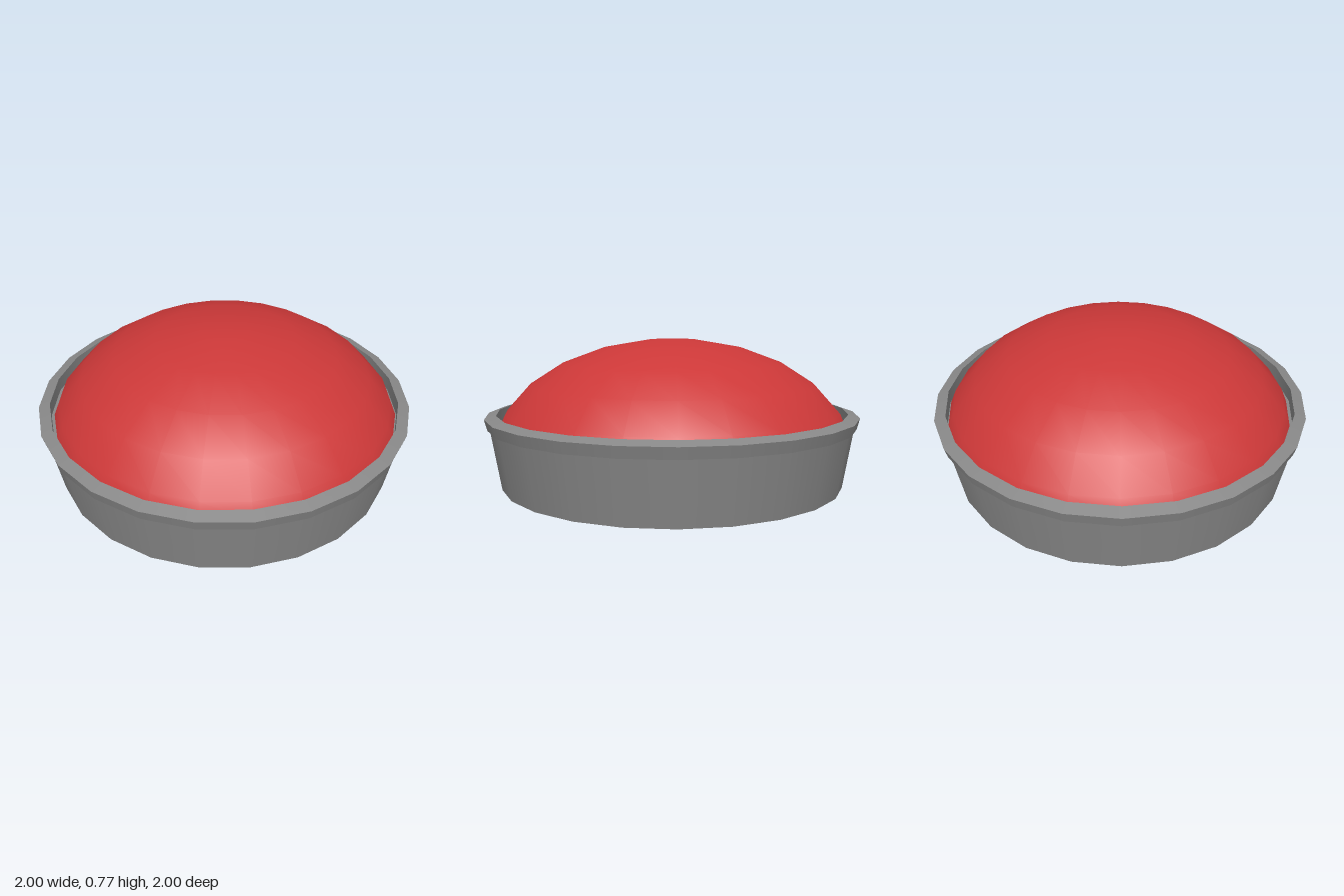
import * as THREE from 'three';

const SIDES = 24;

// Revolve a profile of [radius, height] points, ordered bottom to top on the outside
function revolve(name, points, material) {
  const profile = points.map(([r, y]) => new THREE.Vector2(r, y));
  const mesh = new THREE.Mesh(new THREE.LatheGeometry(profile, SIDES), material);
  mesh.name = name;
  return mesh;
}

export function createModel() {
  const model = new THREE.Group();
  model.name = 'domedButton';
  const grey = new THREE.MeshStandardMaterial({ color: 0x888888 });
  const red = new THREE.MeshStandardMaterial({ color: 0xcc3838 });

  // Tapered base with flat ends
  const base = new THREE.Mesh(new THREE.CylinderGeometry(0.972, 0.92, 0.315, SIDES), grey);
  base.name = 'base';
  base.position.y = 0.1575;
  model.add(base);

  // Rim: each face is its own strip so the edges stay sharp
  const rim = new THREE.Group();
  rim.name = 'rim';
  const section = [[0.94, 0.315], [0.985, 0.315], [1, 0.372], [0.94, 0.39], [0.94, 0.315]];
  const faces = ['rimUnderside', 'rimOuterWall', 'rimTop', 'rimInnerWall'];
  faces.forEach((name, i) => rim.add(revolve(name, [section[i], section[i + 1]], grey)));
  model.add(rim);

  // Shallow dome: flattened sphere arc with a small flat crown
  const arc = [[0.93, 0.315]];
  for (const degrees of [67.5, 52.5, 37.5, 22.5, 7.5]) {
    const a = THREE.MathUtils.degToRad(degrees);
    arc.push([0.97 * Math.sin(a), 0.155 + 0.62 * Math.cos(a)]);
  }
  arc.push([0, arc.at(-1)[1]]);
  const dome = revolve('dome', arc, red);
  dome.position.x = 0.006;
  model.add(dome);

  return model;
}
